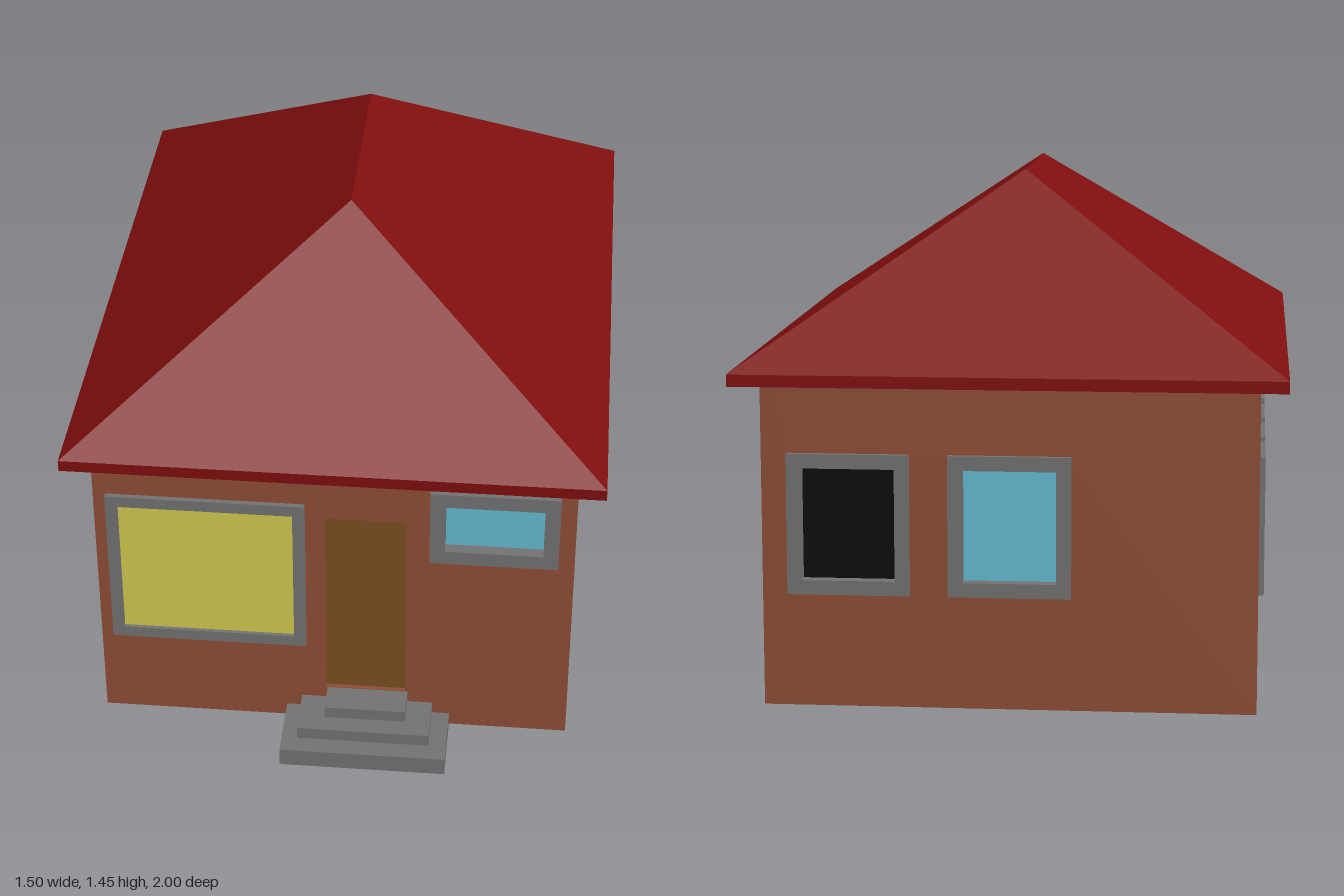
import * as THREE from 'three';

const mat = (name, color) => {
  const m = new THREE.MeshStandardMaterial({ color });
  m.name = name;
  return m;
};

export function createModel() {
  const brick = mat('brick', 0x8f4d36);
  const roofRed = mat('roof red', 0x800e0e);
  const stone = mat('stone grey', 0x727272);
  const doorBrown = mat('door brown', 0x784f20);
  const glass = {
    yellow: mat('yellow glass', 0xd0ca4d),
    cyan: mat('cyan glass', 0x65bad2),
    pink: mat('pink glass', 0xd08acf),
    black: mat('black glass', 0x0a0a0a),
  };

  const house = new THREE.Group();
  house.name = 'house';
  const add = (parent, name, geometry, material) => {
    const mesh = new THREE.Mesh(geometry, material);
    mesh.name = name;
    parent.add(mesh);
    return mesh;
  };

  // Box given by its limits on each axis
  const box = (parent, name, material, x0, x1, y0, y1, z0, z1) =>
    add(parent, name, new THREE.BoxGeometry(x1 - x0, y1 - y0, z1 - z0), material)
      .position.set((x0 + x1) / 2, (y0 + y1) / 2, (z0 + z1) / 2);

  const rect = (T, [u0, u1, v0, v1]) => new T([
    new THREE.Vector2(u0, v0), new THREE.Vector2(u1, v0),
    new THREE.Vector2(u1, v1), new THREE.Vector2(u0, v1),
  ]);

  // Slab in the wall plane with rectangular holes, from depth z0 to z1
  const slab = (outer, holes, z0, z1) => {
    const shape = rect(THREE.Shape, outer);
    holes.forEach((h) => shape.holes.push(rect(THREE.Path, h)));
    return new THREE.ExtrudeGeometry(shape, { depth: z1 - z0, bevelEnabled: false }).translate(0, 0, z0);
  };

  const X = 0.675, FRONT = 0.8, BACK = -0.92, BASE = 0.015, EAVE = 0.915;
  const THICK = 0.05;

  // Wall facing local +z; windows are { r: [u0, u1, v0, v1], color, border, recess }
  const wall = (name, u0, u1, windows, door) => {
    const g = new THREE.Group();
    g.name = name;
    const holes = windows.map((w) => w.r.map((v, i) => v + (i % 2 ? -0.01 : 0.01)));
    if (door) holes.push(door);
    add(g, name + 'Panel', slab([u0, u1, BASE, EAVE + 0.01], holes, -THICK, 0), brick);
    for (const { r, color, border = 0.03, recess = 0.02 } of windows) {
      const inner = r.map((v, i) => v + (i % 2 ? -border : border));
      add(g, 'windowFrame', slab(r, [inner], -THICK + 0.005, 0.015), stone);
      const [a, b, c, d] = inner;
      box(g, 'windowPane', glass[color], a - 0.005, b + 0.005, c - 0.005, d + 0.005, -recess - 0.008, -recess);
    }
    if (door) box(g, 'door', doorBrown, ...door, -0.03, -0.012);
    house.add(g);
    return g;
  };

  // Front wall with picture window, small window and door
  wall('frontWall', -X, X, [
    { r: [-0.64, -0.08, 0.29, 0.79], color: 'yellow', border: 0.034, recess: -0.004 },
    { r: [0.27, 0.63, 0.62, 0.86], color: 'cyan', border: 0.043 },
  ], [-0.025, 0.205, 0.13, 0.745]).position.z = FRONT;

  // Back wall (local u runs along -x)
  const back = wall('backWall', -X, X, [
    { r: [-0.605, -0.27, 0.33, 0.72], color: 'black', border: 0.04 },
    { r: [-0.165, 0.17, 0.33, 0.72], color: 'cyan', border: 0.04 },
  ]);
  back.position.z = BACK;
  back.rotation.y = Math.PI;

  // Wall on the +x side (local u runs along -z)
  const sideA = wall('leftWall', -FRONT, -BACK, [
    { r: [-0.035, 0.26, 0.34, 0.718], color: 'pink' },
    { r: [0.338, 0.625, 0.34, 0.718], color: 'pink' },
  ]);
  sideA.position.x = X;
  sideA.rotation.y = Math.PI / 2;

  // Wall on the -x side (local u runs along +z)
  const sideB = wall('rightWall', BACK, FRONT, [-0.865, -0.55, -0.23, 0.105].map((u, i) => (
    { r: [u, u + 0.235, 0.335, 0.715], color: i ? 'black' : 'cyan' }
  )));
  sideB.position.x = -X;
  sideB.rotation.y = -Math.PI / 2;

  // Floor slab
  box(house, 'floor', brick, -X + 0.01, X - 0.01, BASE, BASE + 0.02, BACK + 0.01, FRONT - 0.01);

  // Hipped roof: box whose top edge is drawn in to the ridge, over a thin fascia
  const RX = 0.75, RF = 0.87, RB = -1.0, FASCIA = 0.945;
  box(house, 'roofFascia', roofRed, -RX, RX, EAVE - 0.003, FASCIA, RB, RF);
  const hip = new THREE.BoxGeometry(1, 1, 1).toNonIndexed();
  const p = hip.attributes.position;
  for (let i = 0; i < p.count; i++) {
    const top = p.getY(i) > 0, front = p.getZ(i) > 0;
    p.setXYZ(i,
      top ? 0 : Math.sign(p.getX(i)) * RX,
      top ? 1.45 : FASCIA,
      top ? (front ? 0.25 : -0.38) : (front ? RF : RB));
  }
  hip.computeVertexNormals();
  add(house, 'hippedRoof', hip, roofRed);

  // Entrance steps
  [
    [-0.14, 0.335, 0, 0.055, 1.0],
    [-0.095, 0.285, 0.055, 0.092, 0.945],
    [-0.02, 0.213, 0.092, 0.128, 0.89],
  ].forEach(([x0, x1, y0, y1, z1], i) =>
    box(house, 'step' + (i + 1), stone, x0, x1, y0, y1, 0.785, z1));

  return house;
}
